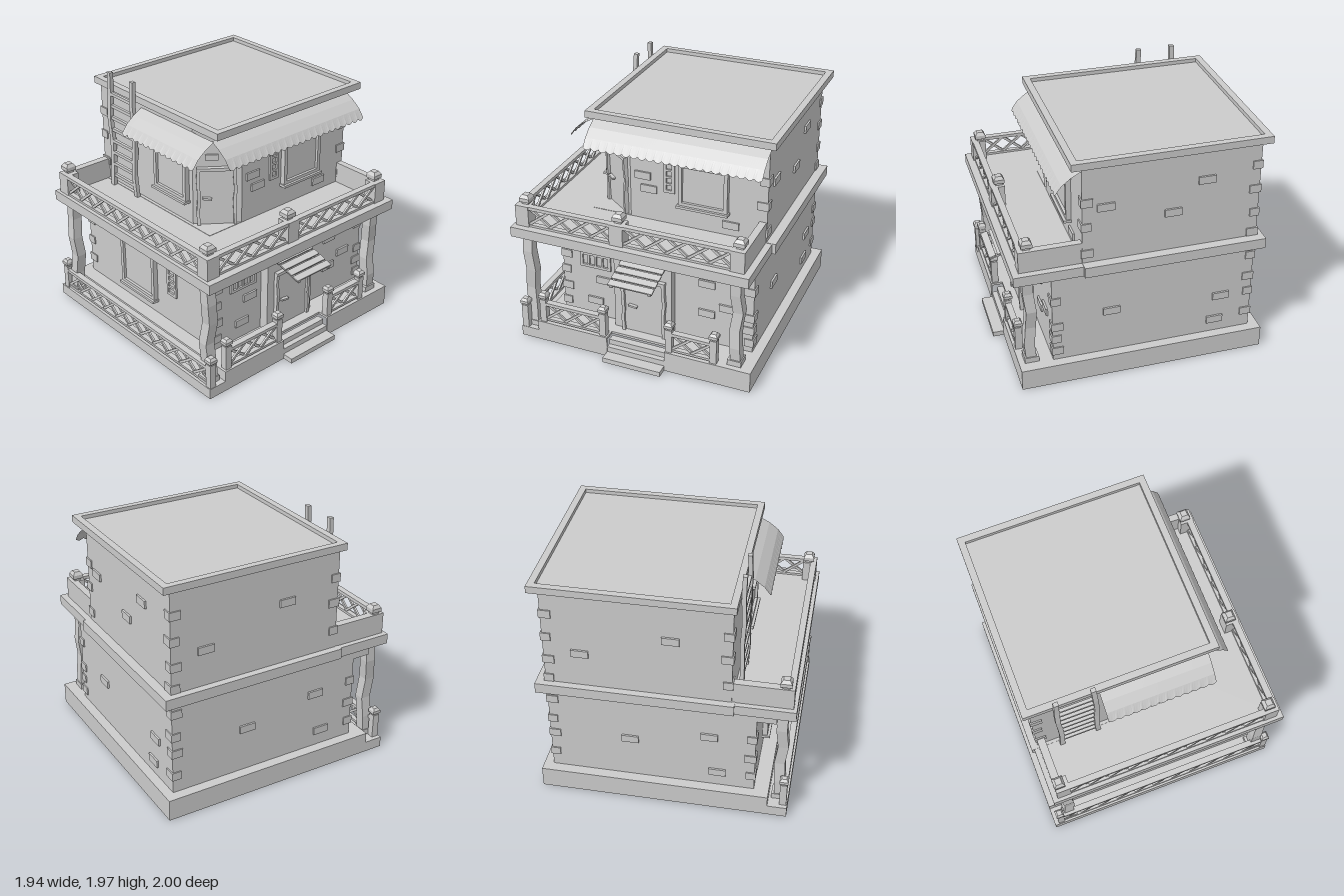
import * as THREE from 'three';

const mat = new THREE.MeshStandardMaterial({ color: 0xcccccc, flatShading: true, side: THREE.DoubleSide });

function add(parent, name, geo, x = 0, y = 0, z = 0, ry = 0) {
  const m = new THREE.Mesh(geo, mat);
  m.name = name;
  m.position.set(x, y, z);
  m.rotation.y = ry;
  parent.add(m);
  return m;
}
// Box given by its extents
function span(parent, name, x0, x1, y0, y1, z0, z1) {
  return add(parent, name, new THREE.BoxGeometry(x1 - x0, y1 - y0, z1 - z0), (x0 + x1) / 2, (y0 + y1) / 2, (z0 + z1) / 2);
}
function group(parent, name, x, y, z, ry = 0) {
  const g = new THREE.Group();
  g.name = name;
  g.position.set(x, y, z);
  g.rotation.y = ry;
  parent.add(g);
  return g;
}
// Upright prism from a floor plan of [x, z] points
function prism(plan, y0, y1) {
  const s = new THREE.Shape(plan.map(([x, z]) => new THREE.Vector2(x, -z)));
  const g = new THREE.ExtrudeGeometry(s, { depth: y1 - y0, bevelEnabled: false });
  return g.rotateX(-Math.PI / 2).translate(0, y0, 0);
}
function rect(T, x0, x1, y0, y1) {
  return new T([[x0, y0], [x1, y0], [x1, y1], [x0, y1]].map(p => new THREE.Vector2(...p)));
}
// Rectangular frame facing +z, with rectangular openings [x0, x1, y0, y1]
function frameGeo(w, h, d, holes) {
  const s = rect(THREE.Shape, -w / 2, w / 2, -h / 2, h / 2);
  holes.forEach(o => s.holes.push(rect(THREE.Path, ...o)));
  return new THREE.ExtrudeGeometry(s, { depth: d, bevelEnabled: false });
}
// Crooked timber standing on its origin
function timber(w, h, d, seed, bend = 0.012) {
  const g = new THREE.BoxGeometry(w, h, d, 1, 5, 1).translate(0, h / 2, 0);
  const p = g.attributes.position;
  for (let i = 0; i < p.count; i++) {
    const k = p.getY(i) / h * 5 + seed;
    p.setX(i, p.getX(i) + bend * Math.sin(k * 2.3));
    p.setZ(i, p.getZ(i) + bend * Math.sin(k * 1.7 + 1));
  }
  return g;
}
// Square knob made of a four-sided lathe
function knob(parent, x, y, z, s = 1) {
  const prof = [[0, 0], [0.028, 0], [0.028, 0.012], [0.042, 0.02], [0.042, 0.05], [0.024, 0.075], [0, 0.075]]
    .map(([r, h]) => new THREE.Vector2(r * s * Math.SQRT2, h * s));
  add(parent, 'postKnob', new THREE.LatheGeometry(prof, 4).rotateY(Math.PI / 4), x, y, z);
}
// Lattice panel along local x, centred, standing on y = 0
function lattice(parent, x, y, z, ry, len, h, n) {
  const g = group(parent, 'latticeRailing', x, y, z, ry);
  span(g, 'topRail', -len / 2, len / 2, h - 0.026, h, -0.025, 0.025);
  span(g, 'bottomRail', -len / 2, len / 2, 0, 0.018, -0.02, 0.02);
  const w = len / n, ih = h - 0.04, a = Math.atan2(ih, w);
  for (let i = 0; i < n; i++) for (const s of [-1, 1]) {
    const b = add(g, 'latticeBar', new THREE.BoxGeometry(Math.hypot(w, ih), 0.02, 0.016), -len / 2 + w * (i + 0.5), 0.016 + ih / 2, s * 0.007);
    b.rotation.z = s * a;
  }
}
function windowUnit(parent, x, y, z, ry, w, h) {
  const g = group(parent, 'window', x, y, z, ry);
  add(g, 'windowFrame', frameGeo(w - 0.02, h - 0.03, 0.04, [[-w / 2 + 0.04, w / 2 - 0.04, -h / 2 + 0.045, h / 2 - 0.045]]));
  add(g, 'windowPane', new THREE.BoxGeometry(w - 0.06, h - 0.06, 0.02), 0, 0, 0.008);
  for (const s of [-1, 1]) add(g, s < 0 ? 'windowSill' : 'windowLintel', new THREE.BoxGeometry(w, 0.02, 0.06), 0, s * (h / 2 - 0.01), 0.03);
}
// Vent plate with four openings in a row or a column
function vent(parent, x, y, z, ry, w, h, column) {
  const holes = [], L = (column ? h : w) - 0.03, c = L / 4, t = (column ? w : h) / 2 - 0.022;
  for (let i = 0; i < 4; i++) {
    const a = -L / 2 + c * i + 0.008, b = a + c - 0.016;
    holes.push(column ? [-t, t, a, b] : [a, b, -t, t]);
  }
  add(parent, 'vent', frameGeo(w, h, 0.015, holes), x, y, z, ry);
}
function door(parent, x, y, z, ry, w, h) {
  const g = group(parent, 'door', x, y, z, ry);
  for (const s of [-1, 1]) add(g, 'doorJamb', timber(0.025, h, 0.04, s + 2, 0.005), s * (w / 2 - 0.0125), 0, 0.01);
  add(g, 'doorHead', new THREE.BoxGeometry(w, 0.025, 0.045), 0, h - 0.0125, 0.012);
  add(g, 'doorLeaf', new THREE.BoxGeometry(w - 0.04, h - 0.02, 0.012), 0, h / 2 - 0.01, 0.004);
  add(g, 'doorHandle', new THREE.BoxGeometry(0.07, 0.015, 0.03), -w * 0.24, h * 0.47, 0.022).rotation.z = -0.12;
}
// Curved cloth awning with a scalloped hem, running along local x
function awning(parent, x, z, ry, len) {
  const n = Math.round(len / 0.063), prof = [[0, 1.765], [0.075, 1.725], [0.145, 1.67], [0.19, 1.61]];
  const g = new THREE.PlaneGeometry(len, 1, n * 4, 3), p = g.attributes.position;
  for (let i = 0; i < p.count; i++) {
    const [d, h] = prof[Math.round((0.5 - p.getY(i)) * 3)];
    const hem = d > 0.18 ? 0.016 * Math.abs(Math.sin((p.getX(i) / len + 0.5) * n * Math.PI)) : 0;
    p.setXYZ(i, p.getX(i), h - hem, d + hem * 0.4);
  }
  g.computeVertexNormals();
  add(parent, 'awning', g, x, 0, z, ry);
}

export function createModel() {
  const root = new THREE.Group();
  const L = -Math.PI / 2, R = Math.PI / 2, B = Math.PI;

  // Hollow plinth: deck with a notch for the stairs, skirts, lower left strip
  const base = group(root, 'base', 0, 0, 0);
  add(base, 'porchDeck', prism([[-0.8, -1], [0.97, -1], [0.97, 0.915], [0.28, 0.915], [0.28, 0.82], [-0.2, 0.82], [-0.2, 0.915], [-0.8, 0.915]], 0.15, 0.17));
  span(base, 'skirt', -0.8, -0.2, 0, 0.17, 0.905, 0.915);
  span(base, 'skirt', 0.28, 0.97, 0, 0.17, 0.905, 0.915);
  span(base, 'skirt', -0.8, 0.97, 0, 0.17, -1, -0.99);
  span(base, 'skirt', 0.96, 0.97, 0, 0.17, -1, 0.915);
  span(base, 'skirt', -0.8, -0.79, 0.07, 0.17, -1, 0.915);
  span(base, 'lowerDeck', -0.95, -0.79, 0.07, 0.085, -1, 0.915);
  span(base, 'lowerSkirt', -0.95, -0.94, 0, 0.085, -1, 0.915);
  for (const z of [-1, 0.905]) span(base, 'lowerSkirt', -0.95, -0.79, 0, 0.085, z, z + 0.01);
  [[0.04, 1], [0.085, 0.91], [0.128, 0.868]].forEach(([h, z]) => span(base, 'step', -0.2, 0.28, 0, h, 0.81, z));

  // House body, terrace slab and roof
  add(root, 'lowerWalls', prism([[-0.685, -0.92], [0.895, -0.92], [0.895, 0.655], [-0.685, 0.655]], 0.16, 0.95));
  span(root, 'entranceBay', -0.21, 0.265, 0.17, 0.85, 0.6, 0.73);
  span(root, 'soffit', -0.83, 0.77, 0.84, 0.93, -0.92, 0.73);
  span(root, 'terraceSlab', -0.97, 0.94, 0.92, 1.0, -0.96, 0.94);
  span(root, 'floorBand', -0.52, 0.968, 0.92, 1.003, -0.98, 0.42);
  add(root, 'upperWalls', prism([[-0.495, -0.925], [0.895, -0.925], [0.895, 0.42], [-0.2, 0.42], [-0.495, 0.2]], 1, 1.82));
  span(root, 'roofSlab', -0.51, 0.96, 1.805, 1.83, -0.97, 0.5);
  const rim = frameGeo(1.485, 1.485, 0.055, [[-0.69, 0.69, -0.69, 0.69]]).rotateX(-Math.PI / 2);
  add(root, 'roofRim', rim, 0.222, 1.805, -0.232);

  // Porch posts
  [[-0.875, 0.085, 0.815], [-0.875, 0.085, -0.85], [0.825, 0.17, 0.815]].forEach(([x, y, z], i) => {
    add(root, 'porchPost', timber(0.08, 0.93 - y, 0.08, i * 1.4 + 0.3), x, y, z);
    span(root, 'postFoot', x - 0.055, x + 0.055, y, y + 0.045, z - 0.055, z + 0.055);
  });

  // Terrace parapet with lattice panels
  const up = group(root, 'terraceRailing', 0, 1, 0);
  [[-0.89, 0.835], [-0.11, 0.835], [0.835, 0.835], [-0.89, -0.865]].forEach(([x, z]) => {
    span(up, 'parapetPost', x - 0.055, x + 0.055, 0, 0.17, z - 0.055, z + 0.055);
    knob(up, x + (x < -0.5 ? 0.01 : 0), 0.17, z - 0.015);
  });
  lattice(up, -0.5, 0, 0.86, 0, 0.68, 0.17, 4);
  lattice(up, 0.362, 0, 0.86, 0, 0.84, 0.17, 5);
  lattice(up, -0.92, 0, -0.015, L, 1.6, 0.17, 10);
  span(up, 'sideParapet', 0.835, 0.89, 0, 0.17, 0.41, 0.885);
  span(up, 'backParapet', -0.94, -0.49, 0, 0.17, -0.92, -0.86);

  // Porch railing
  const low = group(root, 'porchRailing', 0, 0, 0);
  [[-0.755, 0.17, 0.875], [-0.24, 0.17, 0.875], [0.31, 0.17, 0.875], [0.67, 0.17, 0.875], [-0.915, 0.085, 0.885], [-0.915, 0.085, -0.94]].forEach(([x, y, z]) => {
    span(low, 'railPost', x - 0.027, x + 0.027, y, y + 0.2, z - 0.027, z + 0.027);
    knob(low, x, y + 0.2, z, 0.8);
  });
  lattice(low, -0.497, 0.18, 0.875, 0, 0.47, 0.165, 3);
  lattice(low, 0.49, 0.18, 0.875, 0, 0.32, 0.165, 2);
  lattice(low, -0.915, 0.095, -0.03, L, 1.78, 0.165, 11);

  // Doors, windows and vents
  const cut = Math.atan2(-0.22, 0.295);
  door(root, 0.04, 0.17, 0.73, 0, 0.36, 0.5);
  door(root, -0.352, 1, 0.307, cut, 0.3, 0.48);
  windowUnit(root, 0.4, 1.365, 0.42, 0, 0.41, 0.38);
  windowUnit(root, -0.495, 1.36, -0.03, L, 0.4, 0.38);
  windowUnit(root, -0.685, 0.525, -0.23, L, 0.44, 0.49);
  vent(root, 0.122, 1.395, 0.42, 0, 0.09, 0.26, true);
  vent(root, -0.4, 0.675, 0.655, 0, 0.26, 0.13, false);
  vent(root, -0.685, 0.55, 0.17, L, 0.11, 0.25, true);

  // Slatted canopy over the entrance
  const can = group(root, 'doorCanopy', 0.035, 0.78, 0.72);
  can.rotation.x = 0.29;
  for (let i = 0; i < 4; i++) add(can, 'canopySlat', new THREE.BoxGeometry(0.36, 0.012, 0.055), 0, 0.006, 0.035 + i * 0.069);
  for (const s of [-1, 1]) add(can, 'canopyArm', new THREE.BoxGeometry(0.025, 0.02, 0.27), s * 0.155, -0.008, 0.135);

  // Cloth awnings
  awning(root, 0.205, 0.42, 0, 1.4);
  awning(root, -0.495, 0.02, L, 0.84);

  // Ladder to the roof
  const ladder = group(root, 'ladder', -0.54, 1, -0.59);
  for (const s of [-1, 1]) add(ladder, 'ladderRail', timber(0.032, 0.97, 0.038, s, 0.006), 0, 0, s * 0.145);
  for (let i = 0; i < 8; i++) span(ladder, 'ladderRung', -0.012, 0.012, 0.08 + i * 0.1, 0.105 + i * 0.1, -0.145, 0.145);

  // Bricks showing on the walls: x, y, z, facing
  const bricks = group(root, 'bricks', 0, 0, 0);
  [[-0.095, 1.37, 0.42, 0], [-0.045, 1.265, 0.42, 0], [0.615, 1.09, 0.42, 0], [0.525, 0.69, 0.655, 0], [-0.33, 0.51, 0.655, 0],
    [0.69, 0.51, 0.655, 0], [0.525, 0.43, 0.655, 0], [-0.41, 0.31, 0.655, 0], [0.895, 0.54, 0.2, R], [0.895, 0.5, -0.67, R],
    [0.895, 0.285, -0.63, R], [0.895, 1.55, -0.51, R], [0.895, 1.45, 0.245, R], [0.895, 1.32, -0.26, R], [0.62, 1.29, -0.925, B],
    [-0.05, 1.49, -0.925, B], [0.27, 0.53, -0.92, B], [-0.335, 0.64, -0.92, B], [-0.4, 0.3, -0.92, B]
  ].forEach(([x, y, z, r]) => add(bricks, 'brick', new THREE.BoxGeometry(0.13, 0.06, 0.03), x, y, z, r));
  add(bricks, 'brick', new THREE.BoxGeometry(0.1, 0.045, 0.03), -0.38, 1.56, 0.286, cut);

  // Corner bricks: corner x, z and heights
  [[0.895, -0.92, [0.31, 0.5, 0.64, 0.83]], [0.895, 0.655, [0.25, 0.36, 0.47, 0.7]], [-0.685, 0.655, [0.26, 0.4, 0.55, 0.69]],
    [-0.685, -0.92, [0.3, 0.47, 0.66]], [0.895, -0.925, [1.04, 1.21, 1.41, 1.61]], [0.895, 0.42, [1.08, 1.3, 1.5]],
    [-0.495, -0.925, [1.15, 1.38, 1.58]]
  ].forEach(([x, z, ys]) => ys.forEach((y, i) => {
    const w = i % 2 ? 0.09 : 0.075, d = i % 2 ? 0.075 : 0.09;
    add(bricks, 'cornerBrick', new THREE.BoxGeometry(w, 0.065, d), x - Math.sign(x) * (w / 2 - 0.01), y, z - Math.sign(z) * (d / 2 - 0.01));
  }));
  return root;
}
